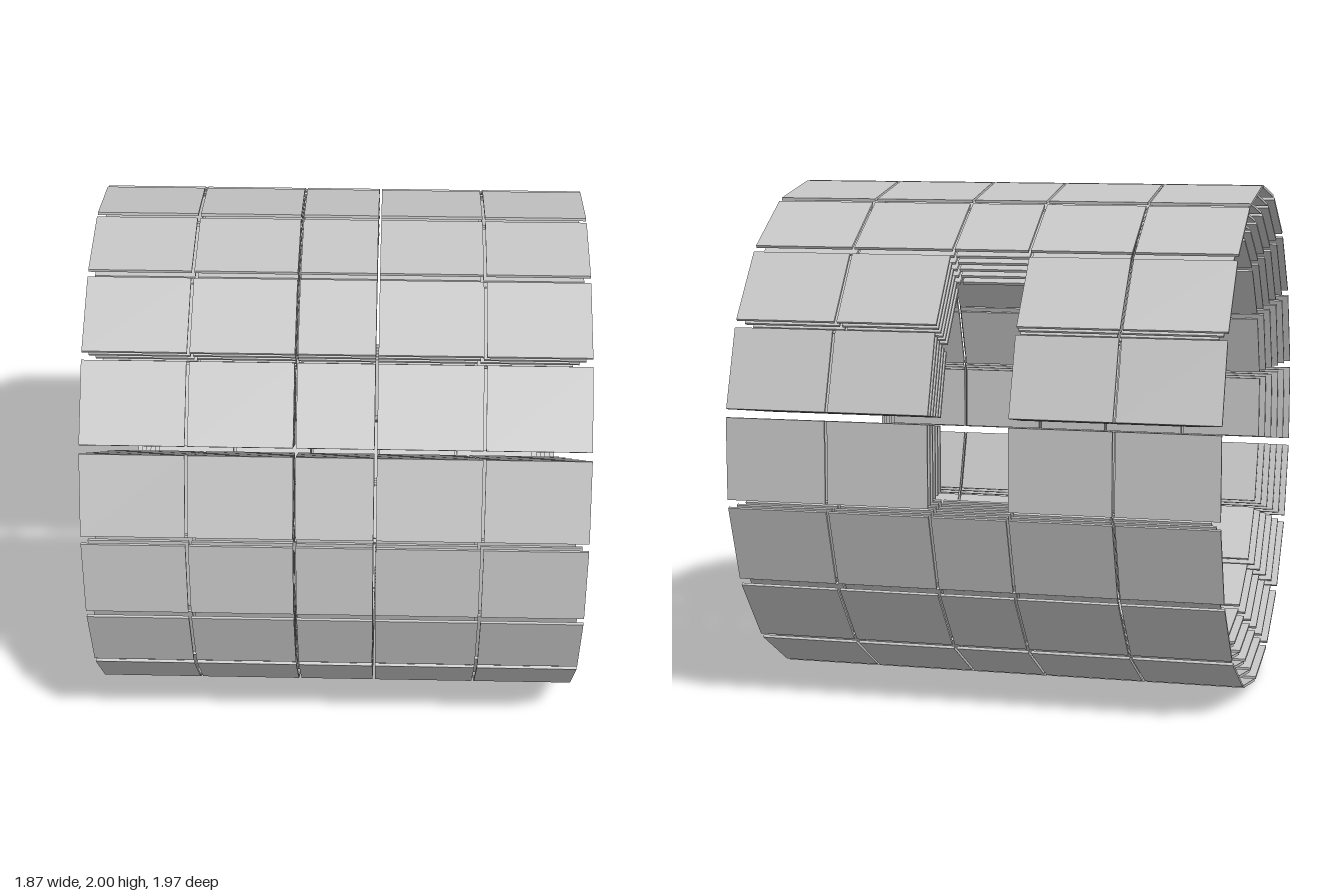
import * as THREE from 'three';

const SECTORS = 18;     // flat staves around the barrel
const LAYERS = 6;       // nested shells
const OUTER = 0.986;    // distance from axis to outermost faces
const PITCH = 0.0345;   // radial step between shells
const THICK = 0.011;
const END_GAP = 0.034;  // gap between neighbouring staves
const COL_GAP = 0.01;   // gap between neighbouring columns

export function createModel() {
  const model = new THREE.Group();
  model.name = 'layeredBarrel';
  const panelGrey = new THREE.MeshStandardMaterial({ color: 0xc4c4c4 });
  panelGrey.name = 'panelGrey';

  const step = (Math.PI * 2) / SECTORS;

  for (let layer = 0; layer < LAYERS; layer++) {
    const face = OUTER - layer * PITCH;
    const height = 2 * face * Math.tan(step / 2) - END_GAP;

    // inner shells have narrower side columns, so the barrel ends step inwards
    const sideWidth = 0.397 - 0.011 * layer;
    const edges = [0.148, 0.148 + sideWidth, 0.148 + 2 * sideWidth];
    const columns = [
      [-edges[2], -edges[1]], [-edges[1], -edges[0]], [-edges[0], edges[0]],
      [edges[0], edges[1]], [edges[1], edges[2]],
    ];
    const boxes = columns.map(([a, b]) => new THREE.BoxGeometry(b - a - COL_GAP, height, THICK));

    const shell = new THREE.Group();
    shell.name = `shell${layer + 1}`;
    shell.position.y = 1;
    model.add(shell);

    for (let s = 0; s < SECTORS; s++) {
      // stave 0 faces the front; the angle climbs over the top to the back
      const stave = new THREE.Group();
      stave.name = `stave${s + 1}`;
      stave.rotation.x = -s * step;
      shell.add(stave);

      columns.forEach(([a, b], c) => {
        // opening in the middle of the back, three staves high
        if (c === 2 && s >= 7 && s <= 9) return;
        const panel = new THREE.Mesh(boxes[c], panelGrey);
        panel.name = 'panel';
        panel.position.set((a + b) / 2, 0, face - THICK / 2);
        stave.add(panel);
      });
    }
  }
  return model;
}
